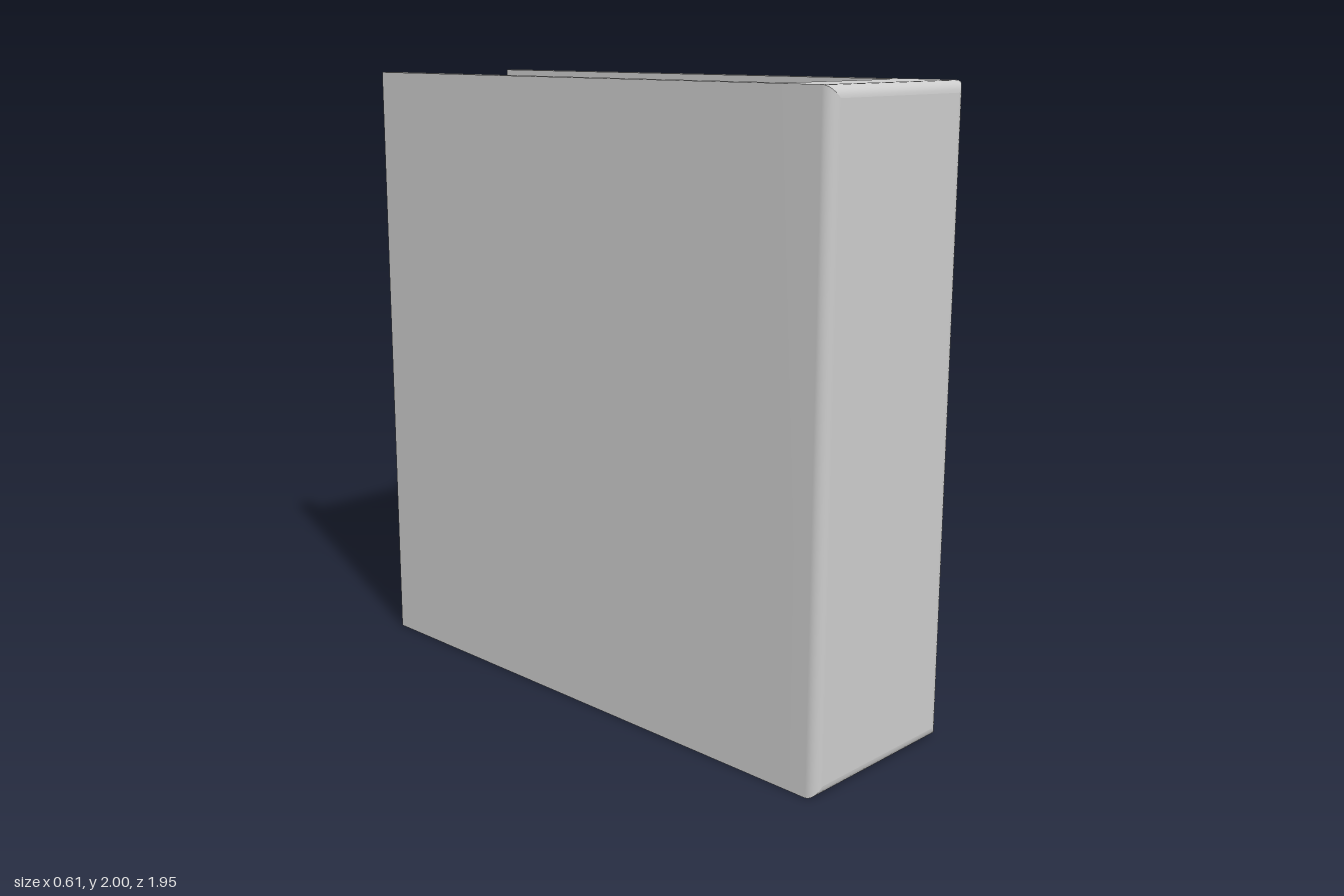
import * as THREE from 'three';

const material = new THREE.MeshStandardMaterial({ color: 0xcccccc });

// Lofts rectangles [halfWidth, halfHeight, z], listed back to front.
// The four sides are separate strips, so corners stay sharp while the profile is smooth.
function loftRectangles(rings) {
  const positions = [], index = [];
  const corners = [[1, 1], [-1, 1], [-1, -1], [1, -1]];
  const add = ([w, h, z], k) => positions.push(w * corners[k % 4][0], h * corners[k % 4][1], z);

  for (let side = 0; side < 4; side++) {
    rings.forEach((ring, j) => {
      const a = positions.length / 3;
      add(ring, side);
      add(ring, side + 1);
      if (j < rings.length - 1) index.push(a, a + 1, a + 3, a, a + 3, a + 2);
    });
  }
  // End caps
  const back = positions.length / 3;
  for (let k = 0; k < 4; k++) add(rings[0], k);
  for (let k = 0; k < 4; k++) add(rings[rings.length - 1], k);
  index.push(back, back + 2, back + 1, back, back + 3, back + 2);
  index.push(back + 4, back + 5, back + 6, back + 4, back + 6, back + 7);

  const geometry = new THREE.BufferGeometry();
  geometry.setAttribute('position', new THREE.Float32BufferAttribute(positions, 3));
  geometry.setIndex(index);
  geometry.computeVertexNormals();
  return geometry;
}

// Quarter-round ending at z = end; direction +1 rounds the front, -1 the back.
function roundedEnd(w, h, end, radius, direction, steps = 6) {
  const rings = [];
  for (let i = 0; i <= steps; i++) {
    const t = (i / steps) * Math.PI / 2;
    const inset = radius * (1 - Math.cos(t));
    rings.push([w - inset, h - inset, end - direction * radius * (1 - Math.sin(t))]);
  }
  return direction > 0 ? rings : rings.reverse();
}

export function createModel() {
  const book = new THREE.Group();
  book.name = 'book';
  const add = (name, geometry, x, y, z) => {
    const mesh = new THREE.Mesh(geometry, material);
    mesh.name = name;
    mesh.position.set(x, y, z);
    book.add(mesh);
  };

  const halfWidth = 0.305, pageHalf = 0.25, depth = 0.973, spineBack = 0.775;
  const boardHalf = (halfWidth - pageHalf) / 2;

  // Spine: rounded front, bevelled inner wall leading down to the pages
  add('spine', loftRectangles([
    [pageHalf, 0.95, spineBack - 0.02],
    [halfWidth, 1, spineBack],
    [halfWidth, 1, spineBack],
    ...roundedEnd(halfWidth, 1, depth, 0.035, 1),
  ]), 0, 1, 0);

  // Cover boards with slightly rounded rear edges
  const board = loftRectangles([
    ...roundedEnd(boardHalf, 1, -depth, 0.012, -1, 4),
    [boardHalf, 1, spineBack],
  ]);
  add('leftCover', board, halfWidth - boardHalf, 1, 0);
  add('rightCover', board, boardHalf - halfWidth, 1, 0);

  // Page block, recessed at top, bottom and rear
  const pagesBack = -0.9, pagesFront = spineBack - 0.018;
  add('pages', new THREE.BoxGeometry(pageHalf * 2, 1.9, pagesFront - pagesBack),
    0, 1, (pagesFront + pagesBack) / 2);

  return book;
}
